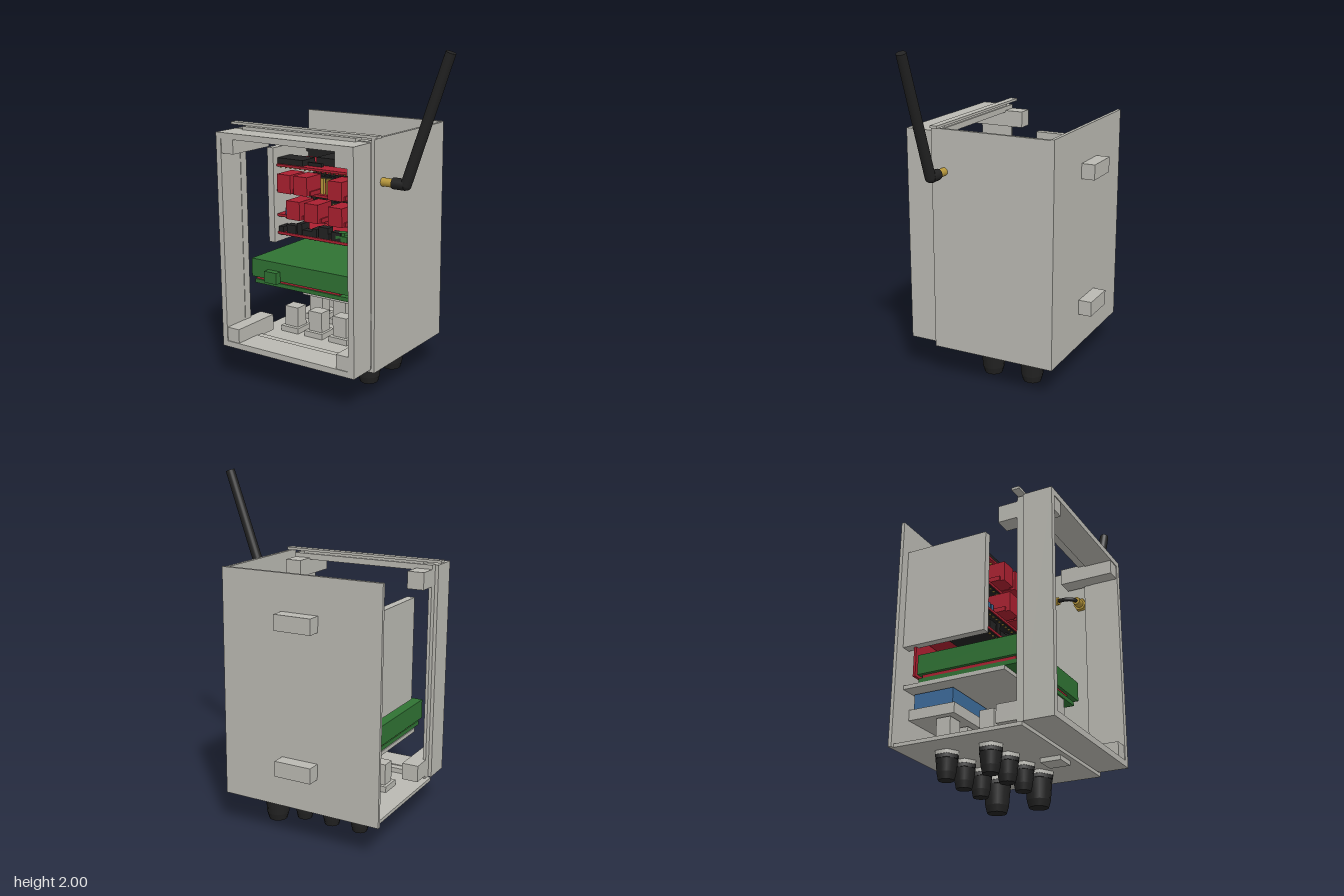
import * as THREE from 'three';

const mat = (name, color) => {
  const m = new THREE.MeshStandardMaterial({ color });
  m.name = name;
  return m;
};

export function createModel() {
  const root = new THREE.Group();
  root.name = 'controlBox';
  const grey = mat('casing grey', 0xbab9b2);
  const black = mat('black plastic', 0x222222);
  const red = mat('red circuit board', 0xab2030);
  const green = mat('green circuit board', 0x2f7233);
  const blue = mat('blue module', 0x3c6b9b);
  const gold = mat('brass', 0xb8983c);

  const add = (name, geo, m, parent = root) => {
    const mesh = new THREE.Mesh(geo, m);
    mesh.name = name;
    parent.add(mesh);
    return mesh;
  };
  // box given by its limits on each axis
  const box = (name, m, x0, x1, y0, y1, z0, z1) => {
    const b = add(name, new THREE.BoxGeometry(x1 - x0, y1 - y0, z1 - z0), m);
    b.position.set((x0 + x1) / 2, (y0 + y1) / 2, (z0 + z1) / 2);
    return b;
  };
  // cylinder between two points
  const rod = (name, m, a, b, r0, r1 = r0, sides = 20) => {
    const p = new THREE.Vector3(...a), q = new THREE.Vector3(...b);
    const c = add(name, new THREE.CylinderGeometry(r1, r0, p.distanceTo(q), sides), m);
    c.position.copy(p).lerp(q, 0.5);
    c.quaternion.setFromUnitVectors(new THREE.Vector3(0, 1, 0), q.sub(p).normalize());
    return c;
  };

  // Casing: back, one side and floor; the top and other side are open
  box('backWall', grey, -0.7, 0.28, 0.195, 1.53, -0.43, -0.41);
  box('sideWall', grey, 0.26, 0.28, 0.195, 1.525, -0.41, 0.33);
  box('floor', grey, -0.68, 0.26, 0.195, 0.215, -0.41, 0.33);
  box('topLip', grey, -0.715, 0.295, 1.525, 1.54, 0.285, 0.33);
  box('topLipInner', grey, -0.6, 0.18, 1.505, 1.525, 0.3, 0.365);
  box('floorNub', grey, -0.18, -0.06, 0.17, 0.195, 0.18, 0.3);
  for (const y of [0.4, 1.23]) box('mountingTab', grey, -0.325, -0.1, y, y + 0.09, -0.51, -0.43);

  // Lid frame with a large window
  const rect = (P, x0, x1, y0, y1) => {
    const s = new P();
    s.moveTo(x0, y0);
    s.lineTo(x1, y0);
    s.lineTo(x1, y1);
    s.lineTo(x0, y1);
    s.closePath();
    return s;
  };
  const frame = (name, o, i, z, depth) => {
    const s = rect(THREE.Shape, ...o);
    s.holes.push(rect(THREE.Path, ...i));
    add(name, new THREE.ExtrudeGeometry(s, { depth, bevelEnabled: false }), grey).position.z = z;
  };
  frame('lidFrame', [-0.68, 0.26, 0.215, 1.505], [-0.645, 0.222, 0.25, 1.47], 0.335, 0.17);
  frame('lidRim', [-0.66, 0.24, 0.216, 1.51], [-0.642, 0.225, 0.245, 1.475], 0.29, 0.05);
  for (const x of [-0.66, 0.137])
    for (const y of [0.235, 1.385]) box('cornerBlock', grey, x, x + 0.1, y, y + 0.1, 0.175, 0.5);

  // Cable glands in two rows, the wide one at the end
  const gland = (x, z, s, bottom) => {
    rod('glandWasher', grey, [x, 0.175, z], [x, 0.195, z], 0.075 * s, 0.075 * s, 6);
    rod('glandFlange', black, [x, 0.155, z], [x, 0.175, z], 0.072 * s, 0.072 * s, 6);
    rod('glandBody', black, [x, bottom + 0.04, z], [x, 0.155, z], 0.054 * s, 0.062 * s, 12);
    rod('glandCap', black, [x, bottom, z], [x, bottom + 0.04, z], 0.045 * s, 0.054 * s, 12);
    box('glandNut', grey, x - 0.07 * s, x + 0.07 * s, 0.215, 0.25, z - 0.07 * s, z + 0.07 * s);
    box('cableStub', grey, x - 0.052 * s, x + 0.052 * s, 0.25, 0.375, z - 0.045 * s, z + 0.045 * s);
  };
  for (const z of [0.05, -0.21]) {
    for (const x of [-0.48, -0.3, -0.12]) gland(x, z, 0.94, 0.045);
    gland(0.065, z, 1.22, 0);
  }

  // Board carrier
  box('carrierSide', grey, -0.645, -0.6, 0.77, 1.36, -0.41, 0.09);
  box('carrierLip', grey, -0.6, -0.587, 0.77, 1.36, -0.41, -0.34);
  box('carrierPost', grey, -0.026, 0.048, 0.77, 1.36, -0.34, -0.24);
  box('carrierWeb', grey, 0.025, 0.048, 0.77, 1.36, -0.41, -0.34);
  box('tray', grey, -0.62, 0.075, 0.535, 0.557, -0.41, 0.2);
  box('trayBracket', grey, 0.05, 0.08, 0.38, 0.6, -0.41, -0.32);
  for (const x of [-0.255, -0.185, -0.105]) box('standoff', grey, x, x + 0.037, 0.53, 0.62, -0.41, -0.355);

  // Power module at the bottom
  box('powerModule', blue, -0.54, -0.015, 0.44, 0.53, -0.39, -0.15);
  box('powerBase', grey, -0.555, 0, 0.38, 0.44, -0.41, -0.13);

  // Main green unit
  box('mainUnit', green, -0.63, 0.112, 0.6, 0.712, -0.32, 0.28);
  box('mainUnitSocket', green, -0.505, -0.415, 0.59, 0.66, 0.28, 0.32);
  box('redUnderlay', red, -0.61, 0, 0.582, 0.6, -0.3, 0.26);
  box('lowerBoard', green, -0.615, 0.07, 0.558, 0.582, -0.32, 0.27);

  // Backplane and its sockets
  box('backplane', red, -0.59, -0.015, 0.77, 1.34, -0.355, -0.34);
  box('backplaneFoot', red, -0.62, 0, 0.6, 0.77, -0.355, -0.34);
  const boards = [1.245, 1.09, 0.935, 0.822];
  boards.forEach((y, row) => {
    box('plugInBoard', red, -0.595, -0.015, y, y + 0.014, -0.335, 0.065);
    box('boardSocket', black, -0.585, -0.03, y + 0.014, y + 0.05, -0.335, -0.25);
    // header pins along the front edge
    for (let i = 0; i < 16; i++) {
      const x = -0.58 + i * 0.036;
      box('pin', gold, x, x + 0.008, y - 0.01, y, 0.04, 0.05);
      box('socketPin', black, x, x + 0.008, y + 0.05, y + 0.06, -0.32, -0.26);
    }
    if (row !== 0) box('edgeStrip', black, -0.59, -0.015, y - 0.004, y, -0.2, 0.06);
  });
  box('topSocket', black, -0.61, -0.03, 1.29, 1.325, -0.335, -0.25);

  // Relays and brass posts on the middle boards
  const relays = (y, xs) => xs.forEach(x => {
    box('relay', red, x, x + 0.098, y + 0.014, y + 0.128, 0.0, 0.145);
    box('relayBase', red, x - 0.01, x + 0.108, y + 0.014, y + 0.04, -0.02, 0.12);
  });
  relays(1.09, [-0.53, -0.408, -0.16]);
  relays(0.935, [-0.465, -0.332, -0.16]);
  for (const x of [-0.275, -0.235, -0.195]) box('brassPost', gold, x - 0.01, x + 0.01, 1.1, 1.2, 0.02, 0.04);
  box('brassPost', gold, -0.205, -0.185, 0.945, 1.05, 0.02, 0.04);
  for (const x of [-0.54, -0.505]) box('blueTerminal', blue, x, x + 0.022, 0.949, 0.99, 0.03, 0.055);

  // Chips on the lowest board
  [-0.59, -0.53, -0.45, -0.41, -0.34, -0.29, -0.25, -0.2].forEach((x, i) => {
    const w = i % 2 ? 0.07 : 0.035;
    box('chip', black, x, x + w, 0.836, 0.87 + (i % 3) * 0.018, -0.02 + (i % 2) * 0.03, 0.06);
  });
  box('greenTerminal', green, -0.165, -0.085, 0.836, 0.87, 0.0, 0.06);
  box('greenTerminalTop', green, -0.155, -0.11, 0.87, 0.888, 0.0, 0.05);

  // Radio board parts on the top board
  box('radioModule', black, -0.375, 0, 1.259, 1.305, -0.215, -0.045);
  box('radioTab', black, -0.388, -0.335, 1.259, 1.295, -0.165, -0.095);
  box('radioChip', black, -0.6, -0.41, 1.259, 1.295, -0.08, 0.05);
  box('smallChip', black, -0.4, -0.3, 1.259, 1.28, -0.01, 0.008);

  // Aerial lead inside the box
  box('leadArm', black, -0.03, 0.1, 1.257, 1.305, -0.135, -0.09);
  box('leadElbow', black, 0.1, 0.17, 1.25, 1.31, -0.14, 0);
  rod('leadPlug', gold, [0.142, 1.28, 0], [0.142, 1.28, 0.155], 0.024);
  const bend = new THREE.CatmullRomCurve3([
    [0.142, 1.28, 0.155], [0.142, 1.28, 0.2], [0.165, 1.28, 0.24], [0.2, 1.28, 0.25],
  ].map(p => new THREE.Vector3(...p)));
  add('leadCable', new THREE.TubeGeometry(bend, 14, 0.012, 8), black);

  // Aerial
  rod('aerialSocket', gold, [0.185, 1.28, 0.25], [0.36, 1.28, 0.25], 0.024);
  rod('aerialNut', gold, [0.235, 1.28, 0.25], [0.26, 1.28, 0.25], 0.04, 0.04, 6);
  rod('aerialCollar', black, [0.35, 1.28, 0.25], [0.425, 1.28, 0.25], 0.033, 0.033, 12);
  add('aerialHinge', new THREE.SphereGeometry(0.031, 16, 10), black).position.set(0.428, 1.28, 0.25);
  rod('aerialRod', black, [0.428, 1.28, 0.25], [0.682, 1.99, 0.25], 0.031, 0.028);

  return root;
}
